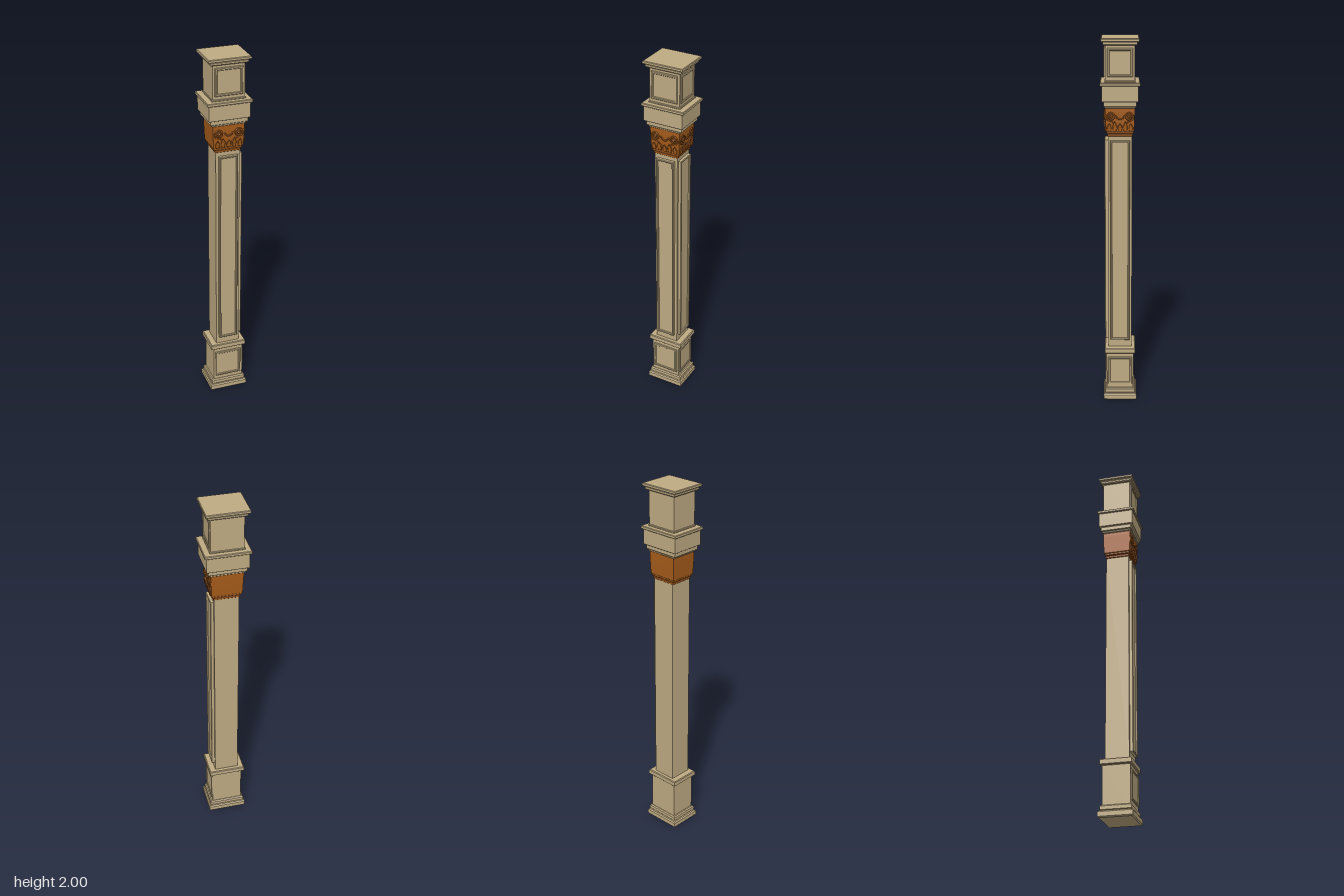
import * as THREE from 'three';

const stone = new THREE.MeshStandardMaterial({ color: 0xbfab83 });
stone.name = 'tan stone';
const wood = new THREE.MeshStandardMaterial({ color: 0xa65c1b });
wood.name = 'carved wood';

function add(parent, name, geometry, material, x = 0, y = 0, z = 0) {
  const mesh = new THREE.Mesh(geometry, material);
  mesh.name = name;
  mesh.position.set(x, y, z);
  parent.add(mesh);
  return mesh;
}

// Closed rectangular block with a stepped profile of [half width, half depth, y], bottom to top
function block(parent, name, material, sections) {
  const [hx, hz] = sections[0];
  const points = sections.map(([w, , y]) => new THREE.Vector2(w * Math.SQRT2, y));
  points.unshift(new THREE.Vector2(0, sections[0][2]));
  points.push(new THREE.Vector2(0, sections[sections.length - 1][2]));
  const lathe = new THREE.LatheGeometry(points, 4, Math.PI / 4);
  const pos = lathe.attributes.position;
  for (let i = 0; i < pos.count; i++) {
    const s = sections[Math.min(Math.max(i % points.length - 1, 0), sections.length - 1)];
    pos.setZ(i, pos.getZ(i) * s[1] / s[0]);
  }
  const flat = lathe.toNonIndexed();
  flat.computeVertexNormals();
  return add(parent, name, flat, material);
}

// Straight slab with a small chamfer along its top and bottom edges
function slab(parent, name, material, hx, hz, y0, y1, c = 0.003) {
  return block(parent, name, material, [
    [hx - c, hz - c, y0], [hx, hz, y0 + c], [hx, hz, y1 - c], [hx - c, hz - c, y1]]);
}

function rectangle(target, w, h) {
  target.moveTo(-w, -h);
  target.lineTo(w, -h);
  target.lineTo(w, h);
  target.lineTo(-w, h);
  target.closePath();
  return target;
}

// Moulded picture-frame panel facing +z
function panel(parent, name, hw, y0, y1, depth, rim) {
  const group = new THREE.Group();
  group.name = name;
  const hh = (y1 - y0) / 2, c = 0.003;
  const shape = rectangle(new THREE.Shape(), hw - c, hh - c);
  shape.holes.push(rectangle(new THREE.Path(), hw - rim, hh - rim));
  const frame = new THREE.ExtrudeGeometry(shape, {
    depth: depth - c, bevelEnabled: true, bevelThickness: c, bevelSize: c, bevelSegments: 1 });
  add(group, 'panelFrame', frame, stone);
  const field = new THREE.BoxGeometry(2 * (hw - rim), 2 * (hh - rim), depth * 0.5);
  add(group, 'panelField', field, stone, 0, 0, depth * 0.25);
  group.position.y = (y0 + y1) / 2;
  parent.add(group);
  return group;
}

class Spiral extends THREE.Curve {
  constructor(side) {
    super();
    this.side = side;
  }
  getPoint(t, target = new THREE.Vector3()) {
    const a = Math.PI * (-0.3 + 3.3 * t), r = 0.025 * (1 - 0.75 * t);
    return target.set(this.side * r * Math.cos(a), r * Math.sin(a), 0.006 * t);
  }
}

// Pointed leaf, upright and curling forward at its tip
function leaf(w, h) {
  const s = new THREE.Shape();
  s.moveTo(-w * 0.6, 0);
  s.quadraticCurveTo(-w * 1.3, h * 0.6, 0, h);
  s.quadraticCurveTo(w * 1.3, h * 0.6, w * 0.6, 0);
  s.closePath();
  const g = new THREE.ExtrudeGeometry(s, {
    depth: 0.003, bevelThickness: 0.002, bevelSize: 0.0015, bevelSegments: 1, curveSegments: 6 });
  const p = g.attributes.position;
  for (let i = 0; i < p.count; i++) {
    const t = Math.max(p.getY(i) / h, 0);
    p.setZ(i, p.getZ(i) + 0.007 * t * t);
  }
  g.computeVertexNormals();
  return g;
}

// Volutes, leaves and a hanging garland on one face of the capital
function carving(parent, name, hw) {
  const group = new THREE.Group();
  group.name = name;
  for (const side of [-1, 1]) {
    const x = side * (hw - 0.028);
    add(group, 'volute', new THREE.TubeGeometry(new Spiral(side), 40, 0.004, 6), wood, x, 1.596, 0.003);
    add(group, 'voluteEye', new THREE.SphereGeometry(0.007, 10, 8), wood, x, 1.596, 0.007);
    const stem = new THREE.QuadraticBezierCurve3(
      new THREE.Vector3(side * 0.01, 1.53, 0.002), new THREE.Vector3(side * 0.02, 1.565, 0.004),
      new THREE.Vector3(x + side * 0.015, 1.577, 0.003));
    add(group, 'voluteStem', new THREE.TubeGeometry(stem, 12, 0.0035, 6), wood);
  }
  for (let i = -2; i <= 2; i++) {
    add(group, 'leaf', leaf(0.011, i % 2 ? 0.05 : 0.04), wood, i * hw * 0.38, 1.52, 0);
  }
  for (let i = -3; i <= 3; i++) {
    add(group, 'garlandBead', new THREE.SphereGeometry(0.005, 8, 6), wood,
      i * 0.007, 1.583 + 0.0016 * i * i, 0.004);
  }
  parent.add(group);
  return group;
}

export function createModel() {
  const model = new THREE.Group();
  model.name = 'column';

  // Pedestal
  slab(model, 'plinth', stone, 0.107, 0.091, 0, 0.036, 0.006);
  slab(model, 'plinthStep', stone, 0.098, 0.082, 0.036, 0.066, 0.006);
  slab(model, 'pedestal', stone, 0.085, 0.074, 0.066, 0.275, 0.001);
  slab(model, 'pedestalCap', stone, 0.101, 0.084, 0.275, 0.306, 0.004);

  // Shaft
  slab(model, 'shaft', stone, 0.066, 0.064, 0.306, 1.49, 0.001);

  // Carved capital
  slab(model, 'capitalCollarLower', wood, 0.07, 0.066, 1.488, 1.503);
  slab(model, 'capitalCollarUpper', wood, 0.077, 0.07, 1.503, 1.517);
  block(model, 'capitalBell', wood, [
    [0.081, 0.073, 1.517], [0.083, 0.076, 1.575], [0.085, 0.077, 1.622], [0.085, 0.077, 1.642]]);

  // Entablature
  slab(model, 'architrave', stone, 0.092, 0.08, 1.64, 1.652);
  slab(model, 'architraveBand', stone, 0.101, 0.086, 1.65, 1.676);
  slab(model, 'frieze', stone, 0.111, 0.096, 1.676, 1.76, 0.001);
  slab(model, 'cornice', stone, 0.121, 0.104, 1.758, 1.775);

  // Upper block and crown
  slab(model, 'upperBlockFoot', stone, 0.09, 0.08, 1.775, 1.785, 0.002);
  slab(model, 'upperBlock', stone, 0.086, 0.077, 1.78, 1.97, 0.001);
  slab(model, 'crownStep', stone, 0.101, 0.09, 1.965, 1.984, 0.005);
  slab(model, 'crown', stone, 0.113, 0.099, 1.984, 2.0);

  // Panels and carving on the front and on the left side only
  for (const left of [false, true]) {
    const face = new THREE.Group();
    face.name = left ? 'leftFace' : 'frontFace';
    const w = left ? 0.067 : 0.074;
    panel(face, 'pedestalPanel', w, 0.09, 0.252, 0.009, 0.01).position.z = left ? 0.083 : 0.073;
    panel(face, 'upperPanel', w, 1.802, 1.95, 0.009, 0.01).position.z = left ? 0.084 : 0.076;
    panel(face, 'shaftPanel', 0.052, 0.35, 1.468, 0.019, 0.007).position.z = left ? 0.065 : 0.063;
    carving(face, 'capitalCarving', left ? 0.074 : 0.08).position.z = left ? 0.083 : 0.075;
    if (left) face.rotation.y = Math.PI / 2;
    model.add(face);
  }
  return model;
}
